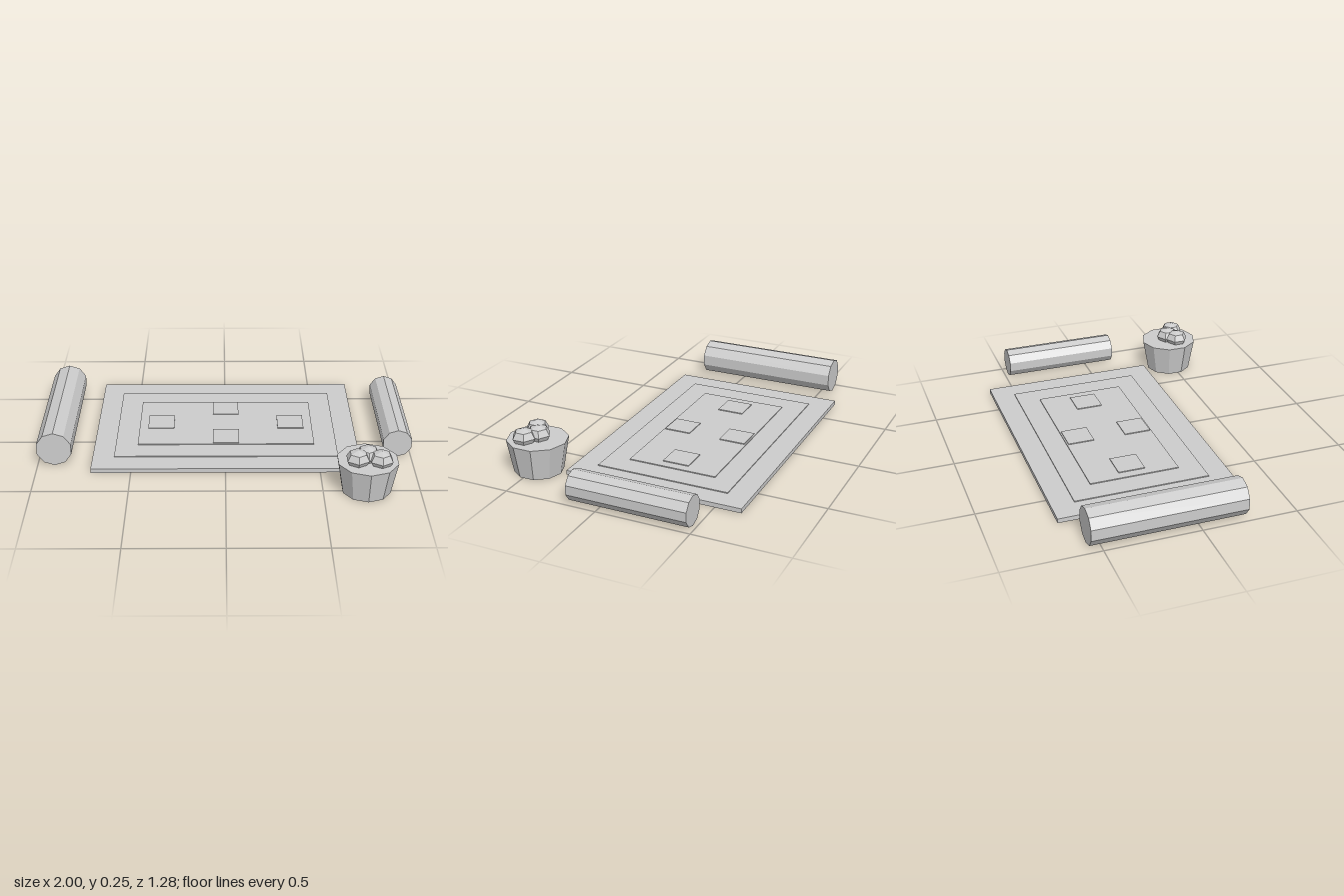
import * as THREE from 'three';

export function createModel() {
  const model = new THREE.Group();
  const grey = new THREE.MeshStandardMaterial({ color: 0xcccccc });
  grey.flatShading = true;

  const add = (parent, name, geometry, x, y, z) => {
    const mesh = new THREE.Mesh(geometry, grey);
    mesh.name = name;
    mesh.position.set(x, y, z);
    parent.add(mesh);
    return mesh;
  };
  const group = (name, x, z) => {
    const g = new THREE.Group();
    g.name = name;
    g.position.set(x, 0, z);
    model.add(g);
    return g;
  };

  // Rug: base slab with two stepped fields and four square motifs
  const rug = group('rug', 0.004, -0.16);
  const slab = (name, w, d, bottom, top, x = 0, z = 0) =>
    add(rug, name, new THREE.BoxGeometry(w, top - bottom, d), x, (top + bottom) / 2, z);
  slab('rugBase', 1.43, 0.96, 0, 0.024);
  slab('rugBorder', 1.2, 0.72, 0.024, 0.029);
  slab('rugField', 0.96, 0.48, 0.029, 0.034);
  for (const [x, z] of [[-0.36, 0], [0.36, 0], [0, -0.16], [0, 0.16]]) {
    slab('rugMotif', 0.144, 0.144, 0.034, 0.039, x, z);
  }

  // Bolsters: ten-sided rolls lying along z
  const bolster = (name, r, length, x) => {
    const geometry = new THREE.CylinderGeometry(r, r, length, 10).rotateX(Math.PI / 2);
    add(model, name, geometry, x, r, -0.16);
  };
  bolster('rightBolster', 0.096, 0.8, -0.909);
  bolster('leftBolster', 0.08, 0.64, 0.924);

  // Basket: tapered ten-sided tub with three squashed fruits on top
  const basket = group('fruitBasket', 0.722, 0.48);
  add(basket, 'basketTub', new THREE.CylinderGeometry(0.16, 0.128, 0.176, 10), 0, 0.088, 0);
  for (const [x, z] of [[-0.055, 0.032], [0, -0.008], [0.063, 0.04]]) {
    const fruit = new THREE.SphereGeometry(0.064, 6, 4).rotateY(Math.PI / 2).scale(1, 0.75, 1);
    add(basket, 'fruit', fruit, x, 0.2, z);
  }

  return model;
}
